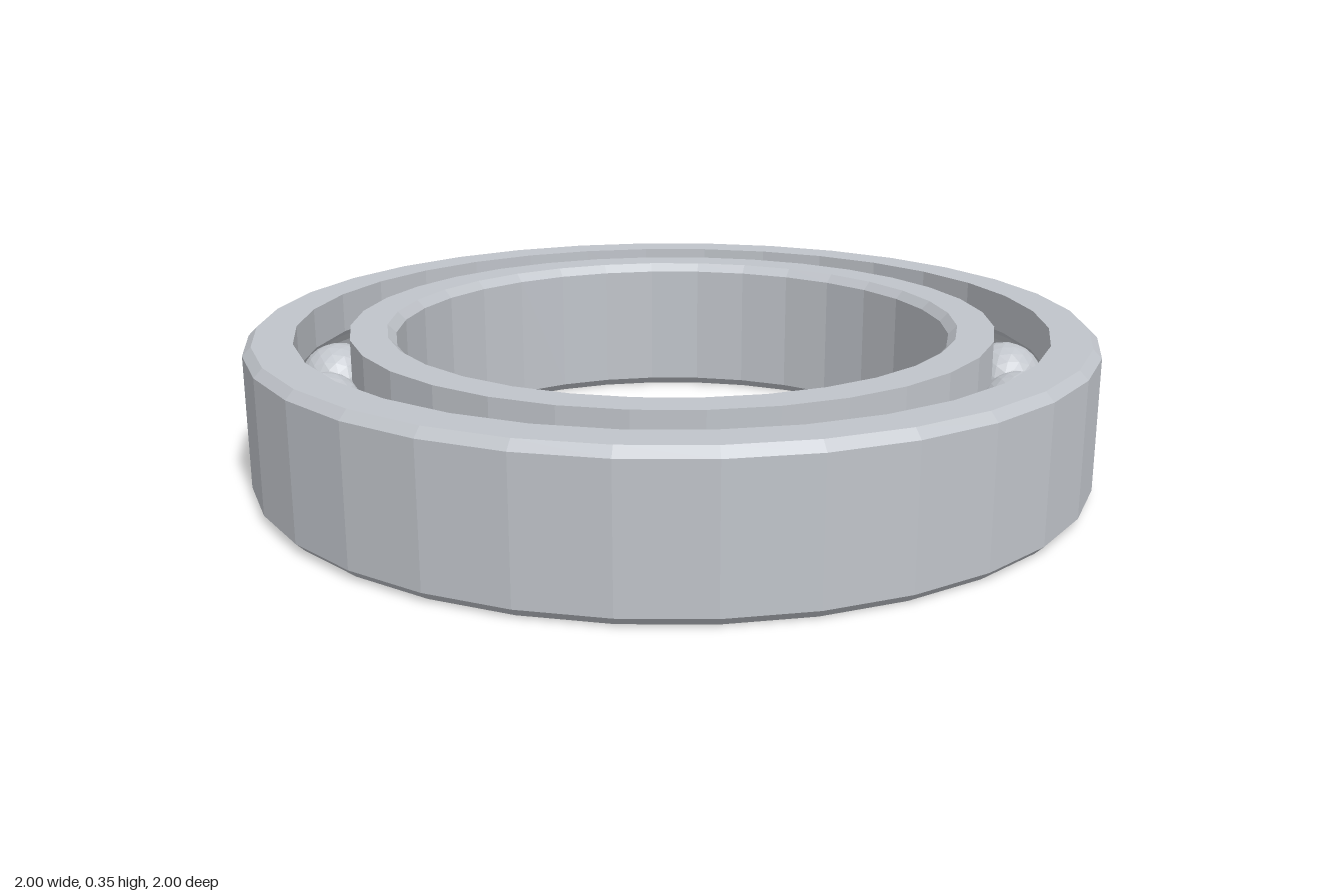
import * as THREE from 'three';

const HEIGHT = 0.35, MID = HEIGHT / 2, BEVEL = 0.02;
const PITCH = 0.825, BALL_RADIUS = 0.096, GROOVE = 0.1;
const SIDES = 32, BALLS = 19;

// Curved ball track cut into a wall; dir +1 bulges outward, -1 inward
function groove(wallRadius, dir) {
  const half = Math.acos(Math.abs(wallRadius - PITCH) / GROOVE);
  const points = [];
  for (let i = 0; i <= 8; i++) {
    const a = half * (1 - i / 4);
    points.push([PITCH + dir * GROOVE * Math.cos(a), MID + dir * GROOVE * Math.sin(a)]);
  }
  return points;
}

// Closed counter-clockwise (radius, height) profile turned into a faceted ring
function ring(name, profile, material) {
  const points = [...profile, profile[0]].map(([r, y]) => new THREE.Vector2(r, y));
  const geometry = new THREE.LatheGeometry(points, SIDES).toNonIndexed();
  geometry.computeVertexNormals();
  const mesh = new THREE.Mesh(geometry, material);
  mesh.name = name;
  return mesh;
}

export function createModel() {
  const model = new THREE.Group();
  model.name = 'ballBearing';
  const steel = new THREE.MeshStandardMaterial({ color: 0xc0c4ca, flatShading: true });
  steel.name = 'steel';

  // Outer race: bevelled rim outside, ball track inside
  model.add(ring('outerRace', [
    [0.888, 0], [1 - BEVEL, 0], [1, BEVEL],
    [1, HEIGHT - BEVEL], [1 - BEVEL, HEIGHT], [0.888, HEIGHT],
    ...groove(0.888, 1),
  ], steel));

  // Inner race: bevelled bore inside, ball track outside
  model.add(ring('innerRace', [
    [0.656 + BEVEL, 0], [0.762, 0],
    ...groove(0.762, -1),
    [0.762, HEIGHT], [0.656 + BEVEL, HEIGHT],
    [0.656, HEIGHT - BEVEL], [0.656, BEVEL],
  ], steel));

  // Balls spaced evenly round the track
  const balls = new THREE.Group();
  balls.name = 'balls';
  const ballGeometry = new THREE.IcosahedronGeometry(BALL_RADIUS, 3);
  for (let i = 0; i < BALLS; i++) {
    const a = (i / BALLS) * Math.PI * 2;
    const ball = new THREE.Mesh(ballGeometry, steel);
    ball.name = 'ball';
    ball.position.set(PITCH * Math.cos(a), MID, PITCH * Math.sin(a));
    ball.rotation.y = -a;
    balls.add(ball);
  }
  model.add(balls);
  return model;
}
